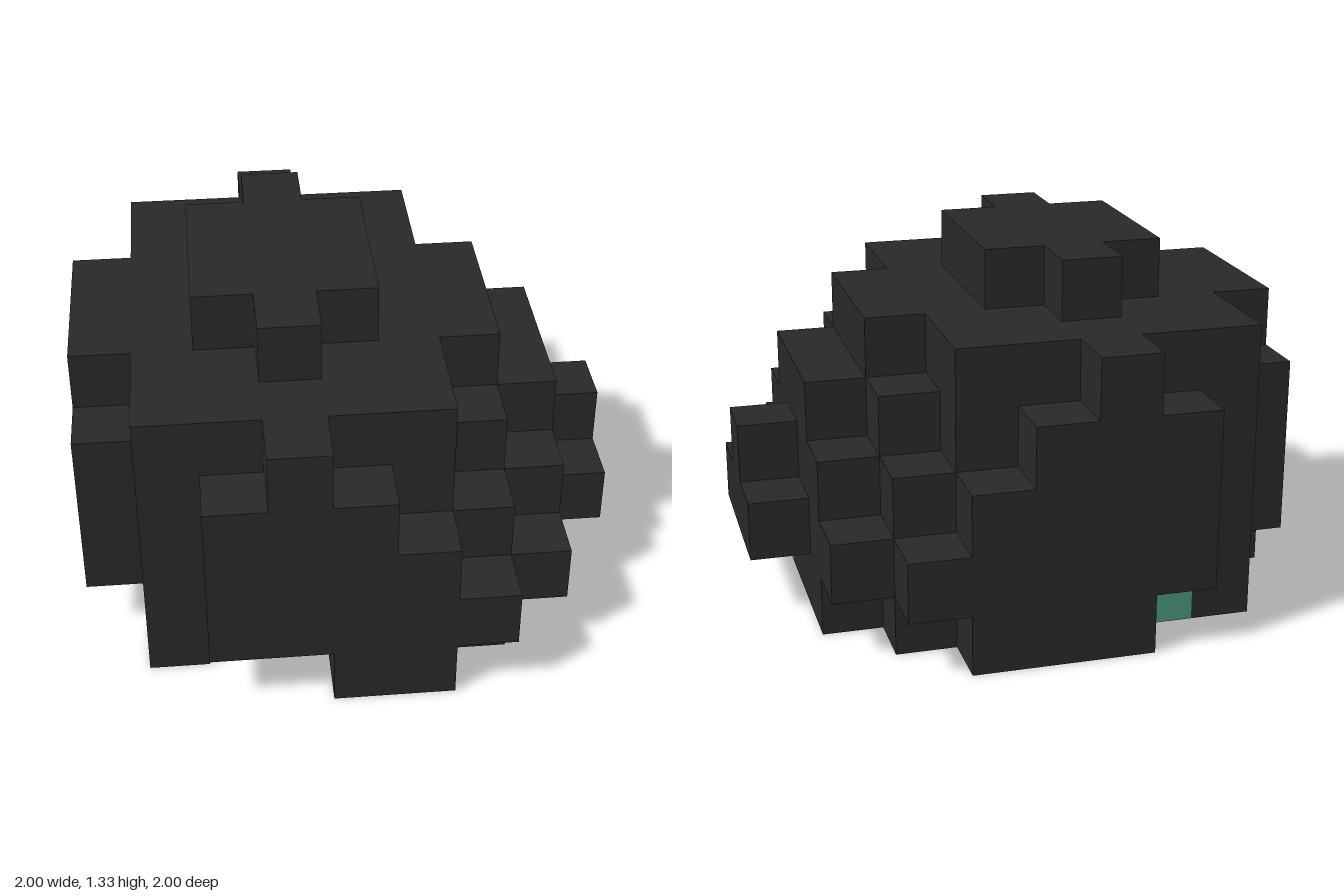
import * as THREE from 'three';
import { mergeGeometries } from 'three/addons/utils/BufferGeometryUtils.js';

const N = 9, CELL = 2 / N;

// Column heights in cells: one row per z (back to front), one digit per x. 0 = no column.
const HEIGHTS = [
  '004543200',
  '055555320',
  '455655430',
  '556665542',
  '556665543',
  '556665542',
  '455655430',
  '055555320',
  '004543200',
];

// Bottom layer: # shell foot, T coloured foot.
const FEET = [
  '...###...',
  '.#T...#..',
  '.......#.',
  '#......#.',
  '.......#.',
  '.......T.',
  '.........',
  '.#....#..',
  '....##...',
];

// Second layer: a rim around the hollow underside.
const RIM = [
  '..#####..',
  '.#...###.',
  '##....##.',
  '##.....##',
  '#......##',
  '#......##',
  '##...T##.',
  '.#...###.',
  '..#####..',
];

// Recess in the ceiling of the hollow (x,z of the third layer).
const RECESS = ['3,5', '4,5'];

const KINDS = { '#': 'shell', T: 'accent', '.': '' };

// Kind of cell at a grid position: '' empty, 'shell' or 'accent'.
function cellAt(x, y, z) {
  if (x < 0 || y < 0 || z < 0 || x >= N || z >= N) return '';
  if (y < 2) return KINDS[[FEET, RIM][y][z][x]];
  if (y === 2 && RECESS.includes(`${x},${z}`)) return '';
  return y < Number(HEIGHTS[z][x]) ? 'shell' : '';
}

// The six outward directions, each with a square facing that way.
const SIDES = [
  [1, 0, 0], [-1, 0, 0], [0, 1, 0], [0, -1, 0], [0, 0, 1], [0, 0, -1],
].map((d) => {
  const face = new THREE.PlaneGeometry(CELL, CELL);
  face.translate(0, 0, CELL / 2);
  const turn = new THREE.Quaternion().setFromUnitVectors(
    new THREE.Vector3(0, 0, 1), new THREE.Vector3(...d));
  face.applyQuaternion(turn);
  return { d, face };
});

// Outer skin of all cells of one kind.
function skin(kind, material, name) {
  const faces = [];
  for (let x = 0; x < N; x++)
    for (let y = 0; y < 6; y++)
      for (let z = 0; z < N; z++) {
        if (cellAt(x, y, z) !== kind) continue;
        for (const { d, face } of SIDES) {
          if (cellAt(x + d[0], y + d[1], z + d[2])) continue;
          faces.push(face.clone().translate(
            (x + 0.5) * CELL - 1, (y + 0.5) * CELL, (z + 0.5) * CELL - 1));
        }
      }
  const mesh = new THREE.Mesh(mergeGeometries(faces), material);
  mesh.name = name;
  return mesh;
}

export function createModel() {
  const charcoal = new THREE.MeshStandardMaterial({ color: 0x282828 });
  charcoal.name = 'charcoal';
  const teal = new THREE.MeshStandardMaterial({ color: 0x48907c });
  teal.name = 'teal';

  const group = new THREE.Group();
  group.name = 'blockDome';
  group.add(skin('shell', charcoal, 'domeShell'));
  group.add(skin('accent', teal, 'tealBlocks'));
  return group;
}
